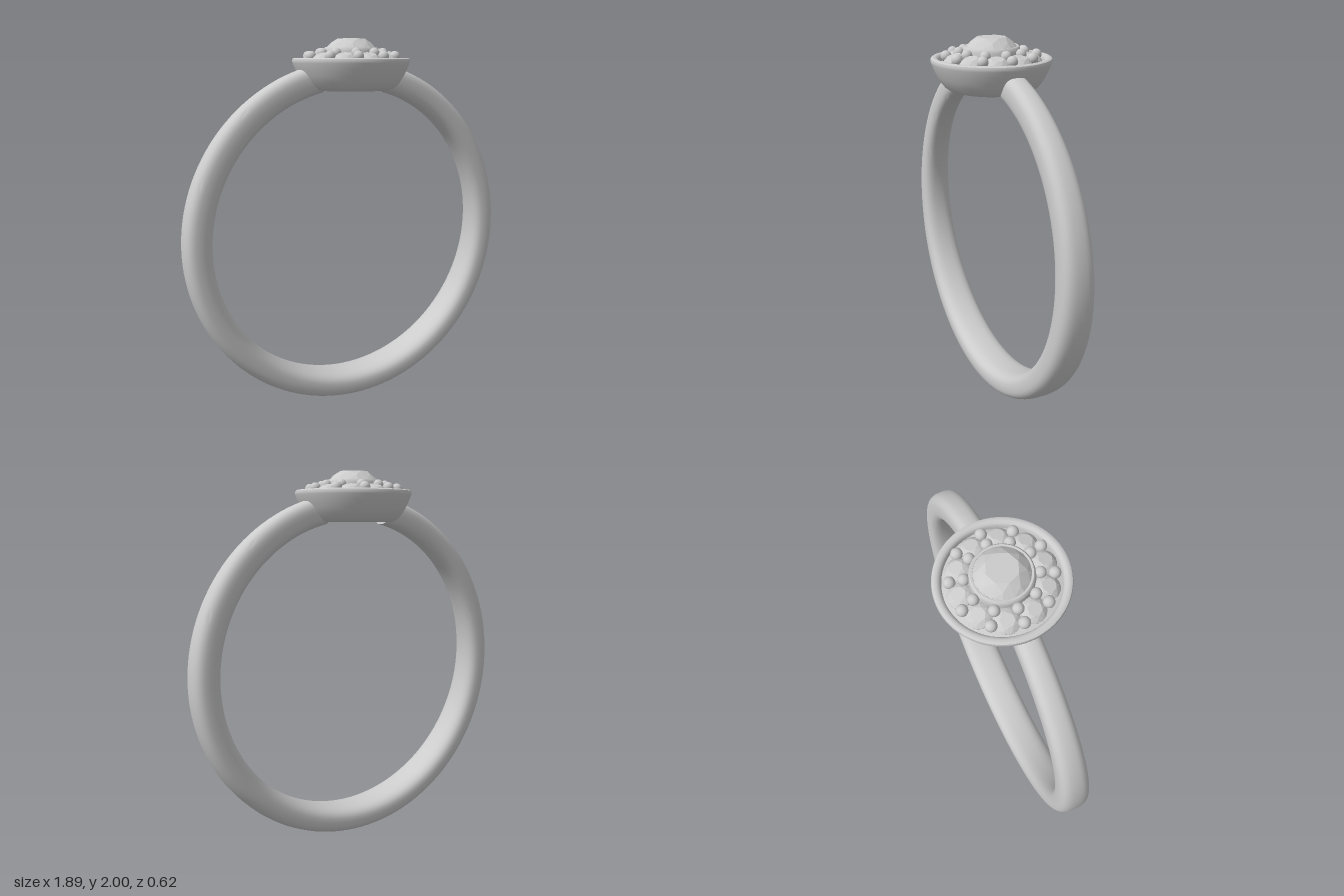
import * as THREE from 'three';
import { ConvexGeometry } from 'three/addons/geometries/ConvexGeometry.js';
import { toCreasedNormals } from 'three/addons/utils/BufferGeometryUtils.js';

const metal = new THREE.MeshStandardMaterial({ color: 0xcccccc });
const hollow = new THREE.MeshStandardMaterial({ color: 0xcccccc, side: THREE.DoubleSide });
const facet = new THREE.MeshStandardMaterial({ color: 0xcccccc, flatShading: true });

function add(parent, name, geometry, material = metal) {
  const mesh = new THREE.Mesh(geometry, material);
  mesh.name = name;
  parent.add(mesh);
  return mesh;
}

// Open band, widening from the head down to the base
function shankGeometry() {
  const R = 0.8725, halfThick = 0.0725, centreY = 0.945, gap = 0.225;
  const steps = 128, sides = 32;
  const pos = [], index = [];
  const power = (v) => Math.sign(v) * Math.abs(v) ** 0.72;
  for (let i = 0; i <= steps; i++) {
    const a = gap + (i / steps) * (Math.PI * 2 - gap * 2);
    const width = 0.0865 + 0.0245 * -Math.cos(a);
    for (let j = 0; j < sides; j++) {
      const t = (j / sides) * Math.PI * 2;
      const r = R + halfThick * power(Math.cos(t));
      pos.push(r * Math.sin(a), centreY + r * Math.cos(a), width * power(Math.sin(t)));
      if (i < steps) {
        const k = (j + 1) % sides, p = i * sides, q = p + sides;
        index.push(p + j, p + k, q + j, p + k, q + k, q + j);
      }
    }
  }
  // flat end caps
  const last = steps * sides;
  for (let j = 1; j < sides - 1; j++) {
    index.push(0, j + 1, j, last, last + j, last + j + 1);
  }
  const g = new THREE.BufferGeometry();
  g.setAttribute('position', new THREE.Float32BufferAttribute(pos, 3));
  g.setIndex(index);
  return toCreasedNormals(g, 0.9);
}

// Brilliant-cut stone with its girdle at y = 0
function gemGeometry(radius, crown, pavilion, table) {
  const pts = [new THREE.Vector3(0, -pavilion, 0)];
  const ring = (n, r, y, shift) => {
    for (let i = 0; i < n; i++) {
      const a = ((i + shift) / n) * Math.PI * 2;
      pts.push(new THREE.Vector3(r * Math.cos(a), y, r * Math.sin(a)));
    }
  };
  ring(8, radius * table, crown, 0);
  ring(8, radius * (table + 1) / 2 * 1.03, crown * 0.55, 0.5);
  ring(16, radius, 0, 0);
  ring(16, radius, -0.006, 0);
  return new ConvexGeometry(pts);
}

function lathe(points) {
  const pts = points.map(([r, y]) => new THREE.Vector2(r, y));
  return toCreasedNormals(new THREE.LatheGeometry(pts, 72), 0.7);
}

export function createModel() {
  const ring = new THREE.Group();
  ring.name = 'ring';
  add(ring, 'shank', shankGeometry());

  const head = new THREE.Group();
  head.name = 'head';
  ring.add(head);

  // Bowl: bore, rounded underside, flared wall and rolled rim
  add(head, 'bowl', lathe([
    [0.1, 1.88], [0.1, 1.81], [0.107, 1.785], [0.122, 1.76], [0.145, 1.743], [0.17, 1.736],
    [0.2, 1.736], [0.222, 1.742], [0.243, 1.757], [0.262, 1.78], [0.28, 1.81], [0.296, 1.845],
    [0.308, 1.875], [0.311, 1.887], [0.308, 1.897], [0.3, 1.902], [0.286, 1.902],
    [0.275, 1.897], [0.269, 1.887], [0.267, 1.865],
  ]), hollow);

  // Sloping floor under the halo, rising into the centre collar
  add(head, 'collar', lathe([
    [0.268, 1.868], [0.15, 1.9], [0.147, 1.935], [0.144, 1.95], [0.137, 1.956],
    [0.128, 1.955], [0.122, 1.945], [0.115, 1.92],
  ]), hollow);

  const centre = add(head, 'centreStone', gemGeometry(0.131, 0.048, 0.1, 0.58), facet);
  centre.position.y = 1.952;

  // Halo: ten tilted stones, with pairs of holding beads between them
  const stone = gemGeometry(0.06, 0.02, 0.035, 0.56);
  const beads = [
    ['outerBead', 0.231, 1.909, new THREE.SphereGeometry(0.028, 20, 14)],
    ['innerBead', 0.167, 1.925, new THREE.SphereGeometry(0.027, 20, 14)],
  ];
  for (let i = 0; i < 10; i++) {
    const sector = new THREE.Group();
    sector.name = 'haloSector';
    sector.rotation.y = (i / 10) * Math.PI * 2;
    head.add(sector);
    for (const [name, r, y, geometry] of beads) {
      add(sector, name, geometry).position.set(r, y, 0);
    }
    const seat = new THREE.Group();
    seat.name = 'haloSeat';
    seat.rotation.y = Math.PI / 10;
    sector.add(seat);
    const gem = add(seat, 'haloStone', stone, facet);
    gem.position.set(0.202, 1.902, 0);
    gem.rotation.z = -0.25;
  }
  return ring;
}
